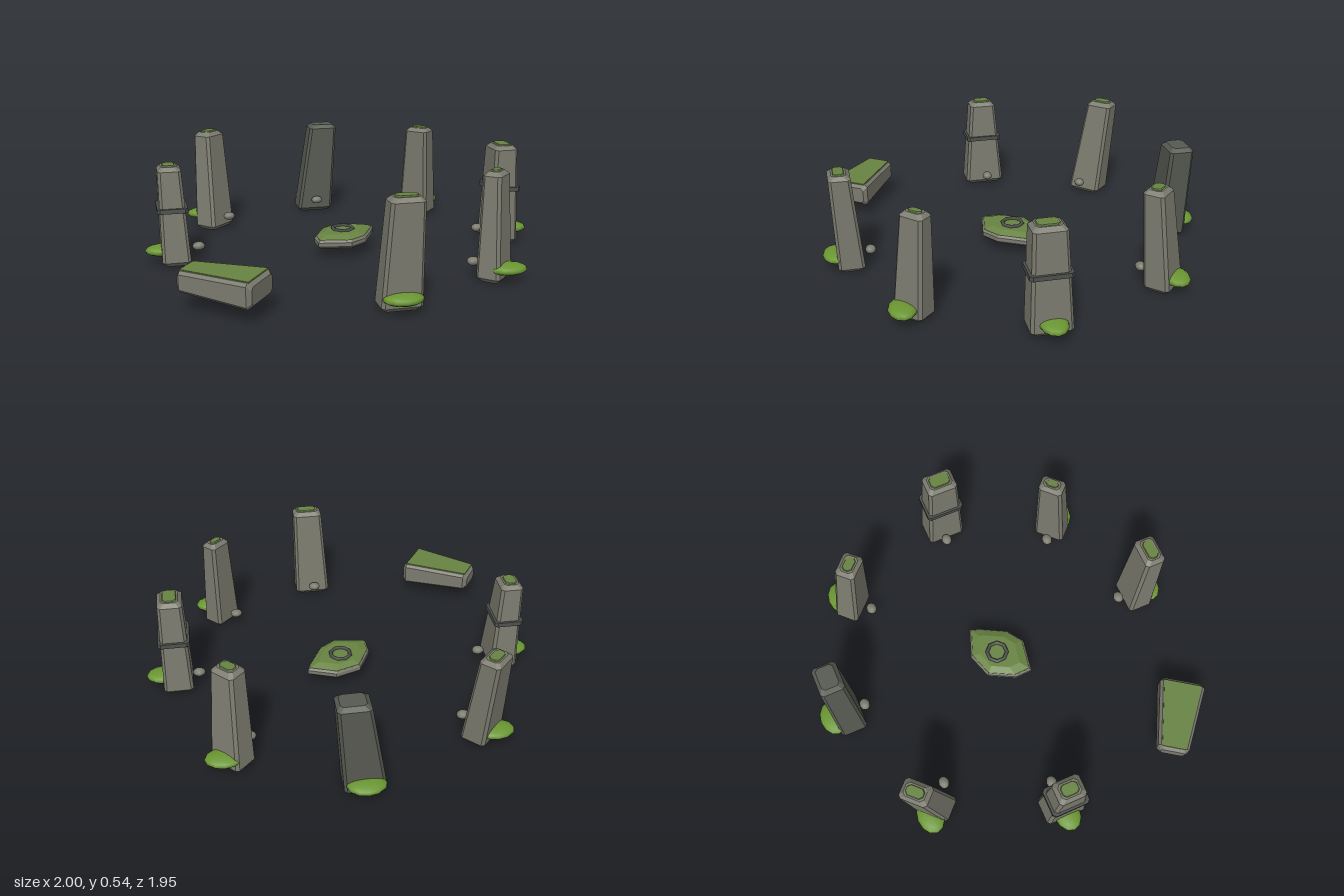
import * as THREE from 'three';

const mat = (name, color, side = THREE.FrontSide) =>
  Object.assign(new THREE.MeshStandardMaterial({ color, side }), { name });

// Closed faceted solid through a stack of rings of [x, y, z] points
function loft(rings) {
  const pos = [];
  const tri = (...pts) => pts.forEach((p) => pos.push(...p));
  const centre = (r) => [0, 1, 2].map((k) => r.reduce((s, p) => s + p[k], 0) / r.length);
  const n = rings[0].length;
  const low = rings[0], high = rings[rings.length - 1];
  const cLow = centre(low), cHigh = centre(high);
  for (let i = 0; i < n; i++) {
    const j = (i + 1) % n;
    for (let k = 0; k + 1 < rings.length; k++) {
      const a = rings[k], b = rings[k + 1];
      tri(a[i], b[i], b[j]);
      tri(a[i], b[j], a[j]);
    }
    tri(cLow, low[i], low[j]);
    tri(cHigh, high[j], high[i]);
  }
  const g = new THREE.BufferGeometry();
  g.setAttribute('position', new THREE.Float32BufferAttribute(pos, 3));
  g.computeVertexNormals();
  return g;
}

// Chamfered rectangle at height y of a leaning, tapering stone
function section(s, y, grow = 0) {
  const t = (y - s.y0) / (s.y1 - s.y0);
  const mix = (a, b) => a + (b - a) * t;
  const hx = mix(s.base[0], s.top[0]) + grow, hz = mix(s.base[1], s.top[1]) + grow, c = 0.014;
  const cx = mix(s.from[0], s.to[0]), cz = mix(s.from[1], s.to[1]);
  const co = Math.cos(s.angle), si = Math.sin(s.angle);
  return [[hx, c - hz], [hx, hz - c], [hx - c, hz], [c - hx, hz],
    [-hx, hz - c], [-hx, c - hz], [c - hx, -hz], [hx - c, -hz]]
    .map(([x, z]) => [cx + x * co + z * si, y, cz - x * si + z * co]);
}

const stoneGeometry = (s) => loft([
  section(s, s.y0, -0.018), section(s, s.y0 + 0.02),
  section(s, s.y1 - 0.02), section(s, s.y1, -0.018)]);

export function createModel() {
  const model = new THREE.Group();
  model.name = 'stoneCircle';
  const stone = mat('stone grey', 0x7b7b6f);
  const darkStone = mat('dark stone', 0x575a52);
  const trim = mat('band grey', 0x4c504b);
  const moss = mat('moss green', 0x6a9632);
  const lichen = mat('lichen green', 0x688443);

  const add = (parent, name, geometry, material) => {
    const m = new THREE.Mesh(geometry, material);
    m.name = name;
    parent.add(m);
    return m;
  };

  // from/to: centres of base and top; base/top: half sizes (tangential, radial)
  const q = Math.PI / 4;
  const stones = [
    { name: 'south', angle: 0, from: [0.045, 0.835], to: [0.062, 0.865], base: [0.095, 0.066], top: [0.077, 0.053],
      y0: 0.015, y1: 0.525, moss: [0.045, 0.905], pebble: [0.04, 0.735] },
    { name: 'southEast', angle: q, from: [0.588, 0.595], to: [0.592, 0.568], base: [0.083, 0.06], top: [0.062, 0.044],
      y0: 0.015, y1: 0.535, moss: [0.635, 0.65], pebble: [0.51, 0.525] },
    { name: 'east', angle: 2 * q, from: [0.84, 0.03], to: [0.84, 0.043], base: [0.1, 0.075], top: [0.078, 0.06],
      y0: 0.02, y1: 0.54, band: 0.315, moss: [0.907, 0.027], pebble: [0.732, 0.015] },
    { name: 'northEast', angle: 3 * q, from: [0.6, -0.6], to: [0.588, -0.548], base: [0.088, 0.066], top: [0.065, 0.052],
      y0: 0.015, y1: 0.53, moss: [0.64, -0.645], pebble: [0.513, -0.515] },
    { name: 'north', angle: 4 * q, from: [0.02, -0.837], to: [0.08, -0.85], base: [0.1, 0.07], top: [0.076, 0.062],
      y0: 0.01, y1: 0.52, dark: true, moss: [0.023, -0.915], pebble: [0.025, -0.74] },
    { name: 'northWest', angle: 5 * q, from: [-0.592, -0.595], to: [-0.603, -0.67], base: [0.092, 0.066], top: [0.07, 0.052],
      y0: 0.012, y1: 0.54, moss: [-0.647, -0.645], pebble: [-0.52, -0.52] },
    { name: 'west', angle: 6 * q, from: [-0.85, -0.015], to: [-0.867, -0.015], base: [0.108, 0.07], top: [0.068, 0.056],
      y0: 0.02, y1: 0.507, band: 0.298, moss: [-0.907, -0.015], pebble: [-0.735, -0.02] },
  ];

  for (const s of stones) {
    const g = new THREE.Group();
    g.name = s.name + 'Stone';
    model.add(g);
    add(g, 'standingStone', stoneGeometry(s), s.dark ? darkStone : stone);
    // Lichen plate on the flat top
    if (!s.dark) {
      add(g, 'topLichen', loft([section(s, s.y1, -0.026), section(s, s.y1 + 0.006, -0.028)]), lichen);
    }
    // Carved band around the middle
    if (s.band) {
      add(g, 'band', loft([section(s, s.band - 0.011, 0.012), section(s, s.band + 0.011, 0.012)]), trim);
    }
    // Moss cushion outside and pebble inside the circle
    const cushion = add(g, 'mossCushion', new THREE.SphereGeometry(1, 12, 8), moss);
    cushion.scale.set(0.093, 0.028, 0.067);
    cushion.position.set(s.moss[0], 0.08, s.moss[1]);
    const pebble = add(g, 'pebble', new THREE.IcosahedronGeometry(1, 1), stone);
    pebble.scale.set(0.032, 0.022, 0.027);
    pebble.position.set(s.pebble[0], 0.085, s.pebble[1]);
  }

  // Fallen stone lying on its side, flat upper face
  const fallen = new THREE.Group();
  fallen.name = 'fallenStone';
  model.add(fallen);
  const log = { angle: 0, from: [0, 0], to: [0, 0.012], base: [0.117, 0.06], top: [0.077, 0.048], y0: 0, y1: 0.378 };
  add(fallen, 'fallenBlock', stoneGeometry(log), stone);
  const face = new THREE.Shape([[-0.096, 0.016], [0.096, 0.016], [0.06, 0.362], [-0.06, 0.362]]
    .map(([x, y]) => new THREE.Vector2(x, y)));
  add(fallen, 'fallenLichen', new THREE.ExtrudeGeometry(face, { depth: 0.006, bevelEnabled: false }), lichen)
    .position.z = 0.058;
  const along = new THREE.Vector3(-0.31, 0, -0.215).normalize();
  const across = new THREE.Vector3(-along.z, 0, along.x);
  fallen.quaternion.setFromRotationMatrix(
    new THREE.Matrix4().makeBasis(across, along, new THREE.Vector3(0, 1, 0)));
  fallen.position.set(-0.545, 0.138, 0.805);

  // Central slab with a lichen-covered sloping top and a carved ring
  const altar = new THREE.Group();
  altar.name = 'centreSlab';
  model.add(altar);
  const outline = [[-0.158, 0.04], [-0.09, -0.09], [0.04, -0.132], [0.182, -0.08],
    [0.165, -0.03], [0.095, 0.1], [0.01, 0.158], [-0.155, 0.13]];
  const ring = (k, y) => outline.map(([x, z]) => [x * k, y, z * k]);
  add(altar, 'slab', loft([ring(0.92, 0.068), ring(1, 0.08), ring(1, 0.1), ring(0.94, 0.11)]), stone);
  add(altar, 'slabLichen', loft([ring(0.94, 0.109), ring(0.93, 0.112), ring(0.66, 0.128)]), lichen);
  const torus = add(altar, 'carvedRing', new THREE.TorusGeometry(0.052, 0.01, 6, 8), trim);
  torus.rotation.set(-Math.PI / 2, 0, Math.PI / 8);
  torus.position.y = 0.13;

  return model;
}
